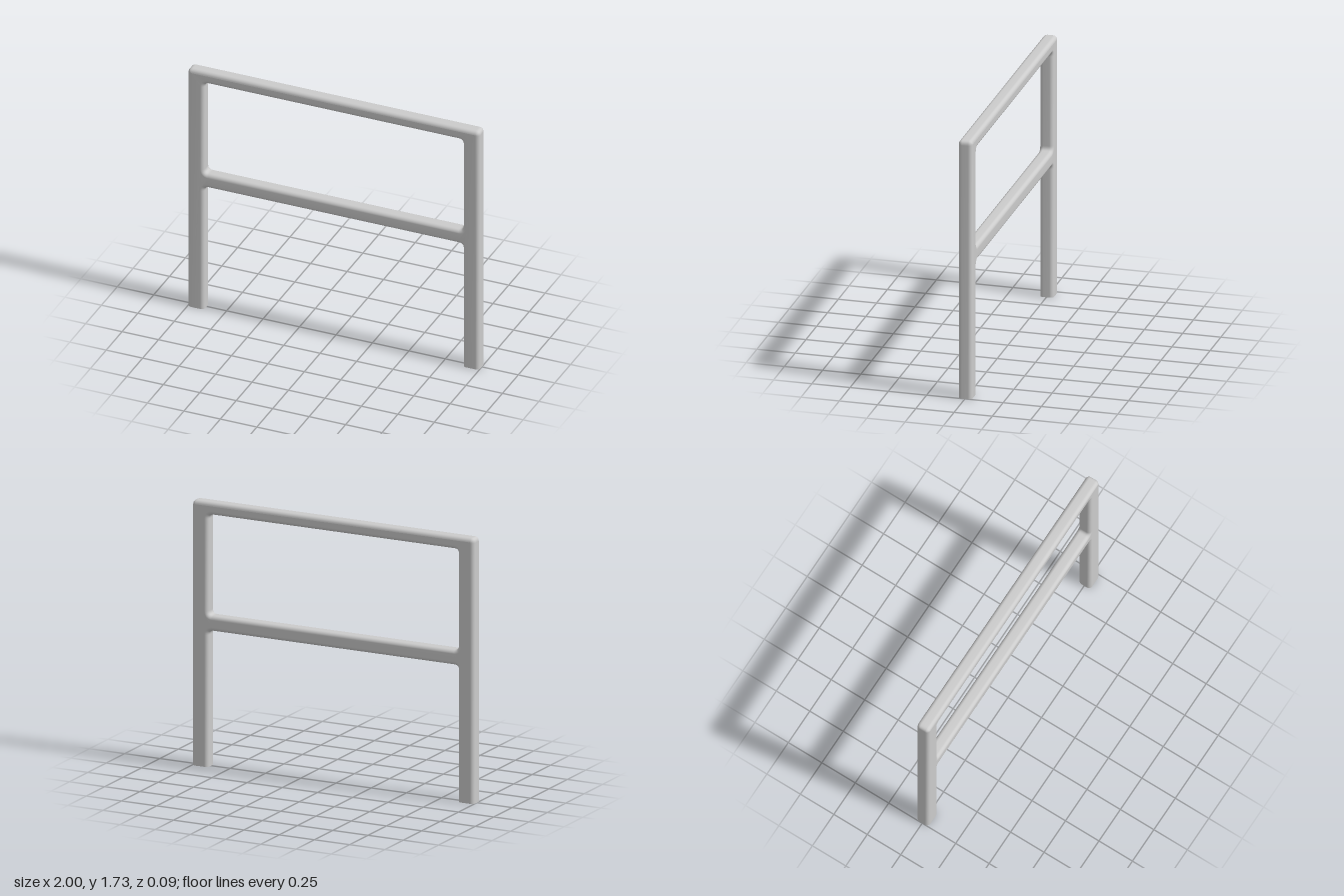
import * as THREE from 'three';
import { mergeVertices } from 'three/addons/utils/BufferGeometryUtils.js';

const HEIGHT = 1.73, DEPTH = 0.09, BEVEL = 0.025;
const INNER = 0.887;            // inner face of the posts
const MID_BOTTOM = 0.89, MID_TOP = 0.988, TOP_BOTTOM = 1.648;
const BELOW = -0.1;             // posts run past the ground, then get trimmed

// Adds a closed polygon to a path; each point is [x, y, corner radius]
function roundedPolygon(path, points) {
  const n = points.length;
  points.forEach(([x, y, r], i) => {
    const corner = new THREE.Vector2(x, y);
    const toward = ([px, py]) =>
      new THREE.Vector2(px, py).sub(corner).setLength(r).add(corner);
    const a = toward(points[(i + n - 1) % n]);
    const b = toward(points[(i + 1) % n]);
    if (i === 0) path.moveTo(a.x, a.y);
    else path.lineTo(a.x, a.y);
    if (r > 0) path.quadraticCurveTo(x, y, b.x, b.y);
  });
  path.closePath();
  return path;
}

// Cuts the geometry off at y = 0 and leaves the tube ends open
function trimAtGround(geometry) {
  const pos = geometry.attributes.position;
  for (let i = 0; i < pos.count; i++) pos.setY(i, Math.max(0, pos.getY(i)));
  const index = geometry.index.array, kept = [];
  for (let i = 0; i < index.length; i += 3) {
    const tri = [index[i], index[i + 1], index[i + 2]];
    if (tri.some((v) => pos.getY(v) > 0)) kept.push(...tri);
  }
  geometry.setIndex(kept);
}

export function createModel() {
  const group = new THREE.Group();
  group.name = 'railing';

  // Outline of both posts with the two rails between them
  const outline = roundedPolygon(new THREE.Shape(), [
    [-1, BELOW, 0], [-INNER, BELOW, 0],
    [-INNER, MID_BOTTOM, 0.03], [INNER, MID_BOTTOM, 0.03],
    [INNER, BELOW, 0], [1, BELOW, 0],
    [1, HEIGHT, 0.03], [-1, HEIGHT, 0.03],
  ]);

  // Opening between the middle and top rails
  outline.holes.push(roundedPolygon(new THREE.Path(), [
    [-INNER, MID_TOP, 0.03], [-INNER, TOP_BOTTOM, 0.03],
    [INNER, TOP_BOTTOM, 0.03], [INNER, MID_TOP, 0.03],
  ]));

  let geometry = new THREE.ExtrudeGeometry(outline, {
    depth: DEPTH - 2 * BEVEL,
    bevelThickness: BEVEL,
    bevelSize: BEVEL,
    bevelOffset: -BEVEL,
    bevelSegments: 5,
    curveSegments: 6,
  });
  geometry.translate(0, 0, BEVEL - DEPTH / 2);

  // Share vertices so the rounded edges shade smoothly
  geometry.deleteAttribute('normal');
  geometry.deleteAttribute('uv');
  geometry = mergeVertices(geometry, 1e-5);
  trimAtGround(geometry);
  geometry.computeVertexNormals();

  const frame = new THREE.Mesh(geometry, new THREE.MeshStandardMaterial({
    color: 0xcccccc, side: THREE.DoubleSide,
  }));
  frame.name = 'postsAndRails';
  group.add(frame);
  return group;
}
